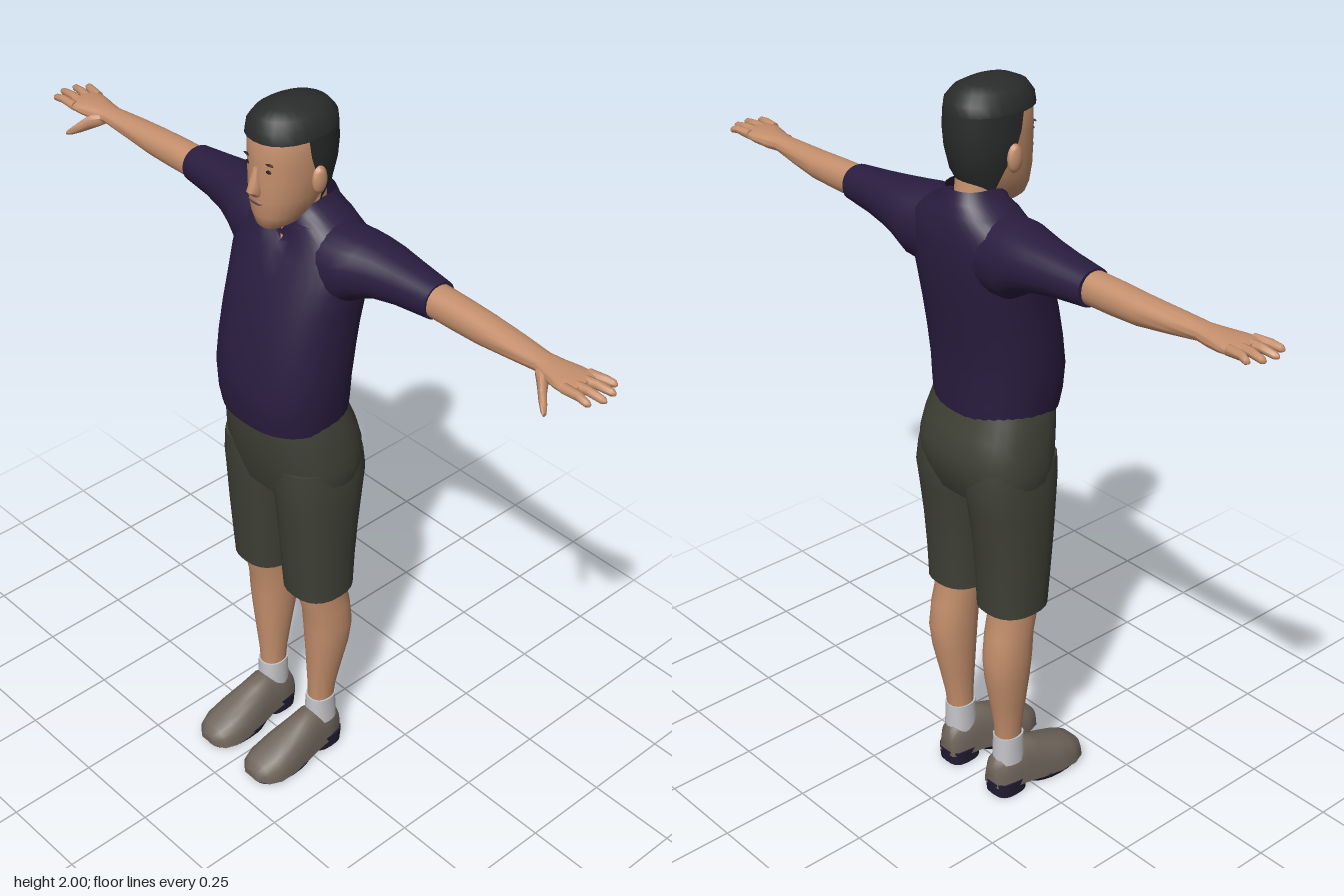
import * as THREE from 'three';
import { toCreasedNormals } from 'three/addons/utils/BufferGeometryUtils.js';

const material = (name, color, side = THREE.FrontSide) => {
  const m = new THREE.MeshStandardMaterial({ color, side });
  m.name = name;
  return m;
};

// Loft along an axis. Ring: [t, uMin, uMax, vMin, vMax, startAngle].
// (u, v) is (z, x) along y, (y, z) along x and (x, y) along z.
function loft(axis, rings, { n = 2.2, seg = 24, dome = false, caps = true, warp } = {}) {
  const order = { x: ['x', 'y', 'z'], y: ['y', 'z', 'x'], z: ['z', 'x', 'y'] }[axis];
  const pos = [], idx = [], p = new THREE.Vector3();
  const put = (t, u, v) => {
    p[order[0]] = t; p[order[1]] = u; p[order[2]] = v;
    if (warp) warp(p);
    pos.push(p.x, p.y, p.z);
  };
  const round = c => Math.sign(c) * Math.abs(c) ** (2 / n);
  const cols = seg + 1;
  rings.forEach(([t, u0, u1, v0, v1, start = 0]) => {
    for (let j = 0; j <= seg; j++) {
      const a = start + (2 * Math.PI - 2 * start) * (j % seg === 0 && !start ? 0 : j / seg);
      const c = round(Math.cos(a)), s = round(Math.sin(a));
      const v = dome ? v0 + (v1 - v0) * Math.max(0, s) : (v0 + v1) / 2 + (v1 - v0) / 2 * s;
      put(t, (u0 + u1) / 2 + (u1 - u0) / 2 * c, v);
    }
  });
  for (let i = 0; i < rings.length - 1; i++) for (let j = 0; j < seg; j++) {
    const a = i * cols + j, b = a + 1, c = a + cols, d = c + 1;
    idx.push(a, b, c, b, d, c);
  }
  if (caps) [0, rings.length - 1].forEach(i => {
    const [t, u0, u1, v0, v1] = rings[i], m = pos.length / 3;
    put(t, (u0 + u1) / 2, (v0 + v1) / 2);
    for (let j = 0; j < seg; j++) {
      const a = i * cols + j;
      if (i) idx.push(m, a, a + 1); else idx.push(m, a + 1, a);
    }
  });
  const g = new THREE.BufferGeometry();
  g.setAttribute('position', new THREE.Float32BufferAttribute(pos, 3));
  g.setIndex(idx);
  g.computeVertexNormals();
  return g;
}

const blob = (x, y, z, sx, sy, sz) => new THREE.SphereGeometry(1, 14, 10).scale(sx, sy, sz).translate(x, y, z);

function mirrored(geo) {
  const g = geo.clone().scale(-1, 1, 1), a = g.index.array;
  for (let i = 0; i < a.length; i += 3) [a[i], a[i + 1]] = [a[i + 1], a[i]];
  return g;
}

export function createModel() {
  const model = new THREE.Group();
  model.name = 'standingMan';
  const skin = material('skin', 0xc48f6c);
  const shirt = material('shirt purple', 0x2a1d40, THREE.DoubleSide);
  const shorts = material('shorts olive', 0x3f4035);
  const hair = material('hair black', 0x2a2b2b, THREE.DoubleSide);
  const shoe = material('shoe brown grey', 0x70665c);
  const sole = material('sole dark', 0x221c33);
  const sock = material('sock grey', 0xc4c4c8);
  const eye = material('eye dark', 0x2b211d);
  const lip = material('lip', 0x9a6a5c);

  const add = (name, geo, mat) => {
    const mesh = new THREE.Mesh(toCreasedNormals(geo, 1.0), mat);
    mesh.name = name;
    model.add(mesh);
  };
  const pair = (name, geo, mat) => {
    add(name + 'Left', geo, mat);
    add(name + 'Right', mirrored(geo), mat);
  };
  // Symmetric ring around the vertical axis
  const sym = (y, z0, z1, w, start) => [y, z0, z1, -w, w, start];

  // Shirt body, with a V-shaped neckline
  add('shirtBody', loft('y', [
    sym(1.155, -0.148, 0.125, 0.163), sym(1.2, -0.15, 0.133, 0.17), sym(1.27, -0.15, 0.135, 0.177),
    sym(1.35, -0.158, 0.122, 0.18), sym(1.43, -0.17, 0.105, 0.181), sym(1.5, -0.18, 0.083, 0.185),
    sym(1.56, -0.185, 0.06, 0.192), sym(1.62, -0.187, 0.032, 0.19), sym(1.665, -0.182, 0.012, 0.172),
    sym(1.695, -0.172, 0.003, 0.125), sym(1.72, -0.16, 0, 0.076), sym(1.748, -0.15, 0, 0.062),
  ], {
    n: 2.4, seg: 36, caps: false, warp: p => {
      const k = THREE.MathUtils.clamp((p.y - 1.62) / 0.11, 0, 1);
      if (p.z > -0.07) p.y -= 0.085 * k * Math.max(0, 1 - Math.abs(p.x) / 0.065);
    },
  }), shirt);

  // Sleeves, forearms and hands
  pair('sleeve', loft('x', [
    [0.1, 1.5, 1.7, -0.175, 0.01], [0.17, 1.51, 1.7, -0.18, 0.01], [0.21, 1.54, 1.695, -0.178, -0.005],
    [0.26, 1.56, 1.69, -0.172, -0.022], [0.33, 1.572, 1.682, -0.16, -0.037], [0.427, 1.58, 1.672, -0.147, -0.05],
  ]), shirt);
  pair('arm', loft('x', [
    [0.4, 1.585, 1.667, -0.138, -0.056], [0.5, 1.585, 1.665, -0.136, -0.056], [0.58, 1.588, 1.661, -0.134, -0.056],
    [0.67, 1.6, 1.657, -0.126, -0.056], [0.755, 1.612, 1.652, -0.116, -0.056], [0.79, 1.61, 1.652, -0.122, -0.046],
    [0.83, 1.614, 1.652, -0.13, -0.034], [0.865, 1.62, 1.651, -0.132, -0.028], [0.882, 1.626, 1.647, -0.125, -0.034],
  ]), skin);
  [[-0.12, -0.132, 0.925], [-0.094, -0.104, 0.945], [-0.067, -0.068, 0.95], [-0.041, -0.034, 0.935]].forEach(([z0, z1, tip], i) => {
    const ring = (x, y, z, r) => [x, y - r, y + r, z - r, z + r];
    pair('finger' + (i + 1), loft('x', [
      ring(0.855, 1.637, z0, 0.013), ring(0.9, 1.641, (z0 + z1) / 2, 0.011),
      ring(tip - 0.008, 1.638, z1, 0.009), ring(tip, 1.637, z1, 0.004),
    ], { seg: 10, n: 2 }), skin);
  });
  pair('thumb', loft('x', [
    [0.765, 1.61, 1.642, -0.085, -0.05], [0.79, 1.595, 1.638, -0.07, -0.03], [0.812, 1.583, 1.617, -0.04, -0.012],
    [0.832, 1.574, 1.596, -0.02, 0.002], [0.842, 1.573, 1.585, -0.008, 0.005],
  ], { seg: 10 }), skin);

  // Shorts: hips and two legs
  add('shortsHips', loft('y', [
    sym(0.93, -0.155, 0.068, 0.17), sym(0.97, -0.172, 0.08, 0.186), sym(1.02, -0.183, 0.09, 0.187), sym(1.06, -0.182, 0.097, 0.183),
    sym(1.11, -0.168, 0.102, 0.177), sym(1.16, -0.147, 0.105, 0.167), sym(1.19, -0.14, 0.104, 0.158),
  ], { n: 2.5, seg: 32 }), shorts);
  pair('shortsLeg', loft('y', [
    [0.6, -0.133, 0.045, 0.012, 0.182], [0.7, -0.138, 0.055, 0.009, 0.184], [0.8, -0.146, 0.064, 0.006, 0.187],
    [0.9, -0.16, 0.073, 0.002, 0.188], [0.97, -0.172, 0.081, 0, 0.187], [1.03, -0.165, 0.08, 0.01, 0.18],
  ], { n: 2.4 }), shorts);

  // Lower legs, socks and shoes
  pair('lowerLeg', loft('y', [
    [0.16, -0.095, -0.022, 0.066, 0.13], [0.22, -0.1, -0.02, 0.066, 0.134], [0.3, -0.115, -0.014, 0.06, 0.147],
    [0.38, -0.132, -0.008, 0.054, 0.16], [0.45, -0.14, -0.002, 0.051, 0.166], [0.52, -0.132, 0.004, 0.05, 0.164],
    [0.57, -0.122, 0.018, 0.05, 0.161], [0.63, -0.12, 0.025, 0.048, 0.163],
  ]), skin);
  pair('sock', loft('y', [
    [0.1, -0.104, -0.012, 0.06, 0.138], [0.15, -0.102, -0.014, 0.061, 0.136], [0.185, -0.1, -0.016, 0.062, 0.136],
  ]), sock);
  pair('shoe', loft('z', [
    [-0.115, 0.068, 0.12, 0.03, 0.09], [-0.1, 0.057, 0.134, 0.03, 0.122], [-0.06, 0.051, 0.142, 0.025, 0.132],
    [-0.015, 0.048, 0.146, 0.022, 0.146], [0.03, 0.04, 0.152, 0.015, 0.128], [0.09, 0.03, 0.16, 0.012, 0.102],
    [0.14, 0.029, 0.16, 0.012, 0.082], [0.175, 0.04, 0.146, 0.014, 0.064], [0.195, 0.066, 0.118, 0.017, 0.042],
  ], { dome: true, n: 2.6 }), shoe);
  pair('soleFront', loft('y', [[0, -0.005, 0.185, 0.035, 0.153], [0.018, -0.025, 0.192, 0.032, 0.157]], { n: 2.4 }), sole);
  pair('soleHeel', loft('y', [[0, -0.113, -0.015, 0.052, 0.142], [0.042, -0.117, -0.01, 0.05, 0.144]], { n: 3 }), sole);

  // Neck and head
  add('neck', loft('y', [
    sym(1.6, -0.15, 0.012, 0.07), sym(1.65, -0.145, 0, 0.06), sym(1.7, -0.13, -0.01, 0.053), sym(1.79, -0.12, 0.01, 0.055),
  ]), skin);
  add('head', loft('y', [
    sym(1.688, -0.03, 0.055, 0.026), sym(1.7, -0.05, 0.068, 0.042), sym(1.73, -0.085, 0.076, 0.061),
    sym(1.775, -0.12, 0.081, 0.075), sym(1.82, -0.135, 0.08, 0.082), sym(1.87, -0.14, 0.08, 0.086),
    sym(1.92, -0.14, 0.079, 0.086), sym(1.96, -0.13, 0.065, 0.076), sym(1.985, -0.1, 0.035, 0.05),
  ]), skin);
  add('nose', loft('y', [
    [1.785, 0.06, 0.088, -0.012, 0.012], [1.8, 0.06, 0.104, -0.017, 0.017], [1.82, 0.06, 0.098, -0.012, 0.012],
    [1.86, 0.06, 0.083, -0.008, 0.008],
  ], { seg: 12 }), skin);
  pair('ear', blob(0.092, 1.822, -0.035, 0.013, 0.036, 0.022), skin);
  pair('eye', blob(0.034, 1.857, 0.071, 0.009, 0.005, 0.004), eye);
  pair('eyebrow', blob(0.034, 1.876, 0.071, 0.017, 0.003, 0.004), eye);
  add('mouth', blob(0, 1.77, 0.081, 0.024, 0.008, 0.004), lip);

  // Hair: crown above the hairline, and the back and sides below it
  add('hairCrown', loft('y', [
    sym(1.928, -0.15, 0.086, 0.091), sym(1.955, -0.147, 0.082, 0.087), sym(1.978, -0.128, 0.066, 0.07),
    sym(1.992, -0.1, 0.035, 0.045), sym(2.0, -0.06, 0, 0.018),
  ]), hair);
  add('hairBack', loft('y', [
    sym(1.735, -0.108, 0.08, 0.066, 2.15), sym(1.785, -0.135, 0.085, 0.081, 1.85), sym(1.84, -0.148, 0.085, 0.089, 1.55),
    sym(1.885, -0.152, 0.085, 0.091, 1.42), sym(1.93, -0.15, 0.086, 0.091, 1.37),
  ], { caps: false }), hair);

  return model;
}
